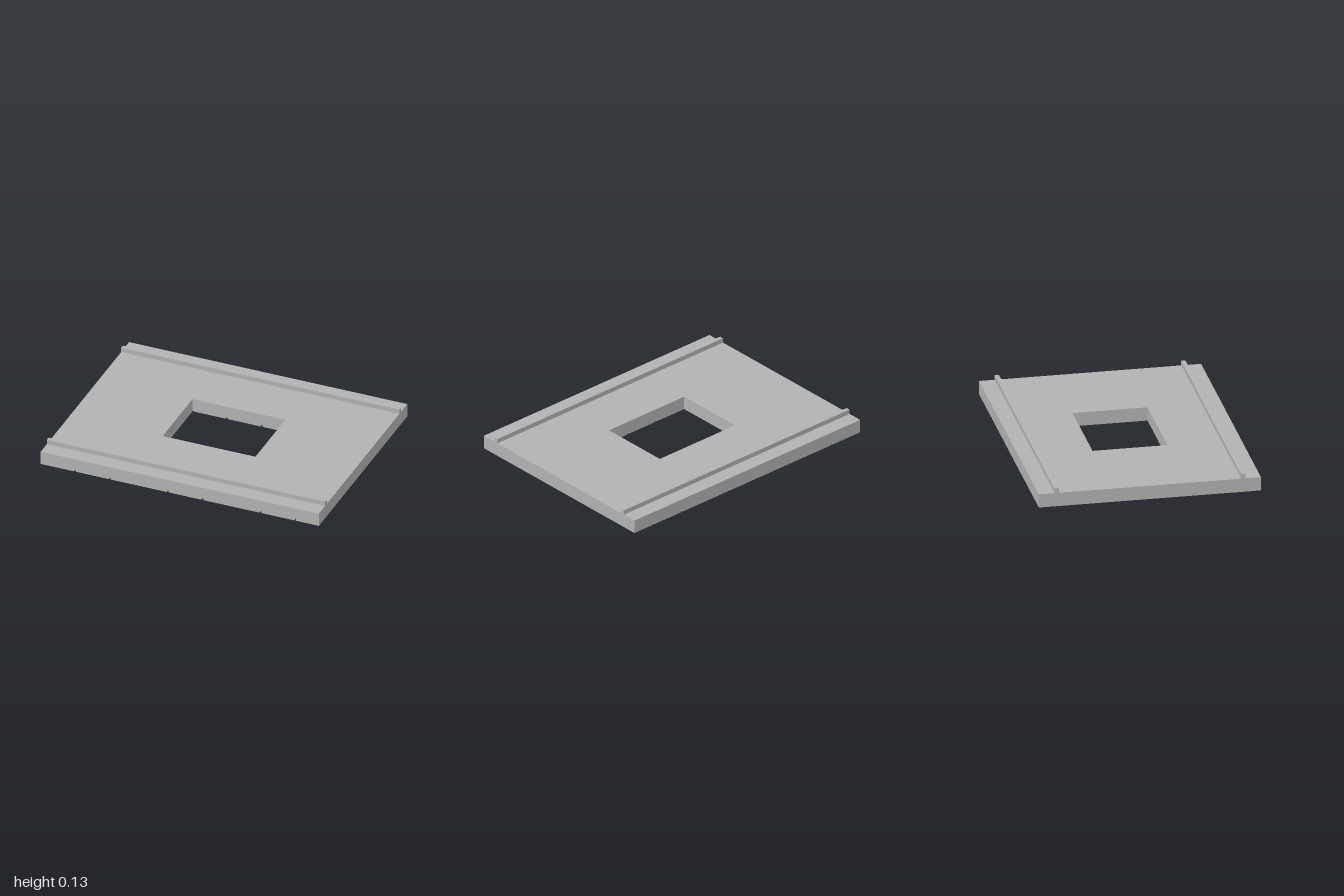
import * as THREE from 'three';

const HEIGHT = 0.095, DEPTH = 1.5, HOLE = 0.253;

// Board cross-section with small pointed grooves cut into its underside
function boardProfile(x0, x1, grooves, chamfer) {
  const s = new THREE.Shape();
  s.moveTo(x0, chamfer);
  s.lineTo(x0 + chamfer * 0.5, 0);
  for (const g of grooves) {
    s.lineTo(g - 0.006, 0);
    s.lineTo(g - 0.006, 0.011);
    s.lineTo(g, 0.017);
    s.lineTo(g + 0.006, 0.011);
    s.lineTo(g + 0.006, 0);
  }
  s.lineTo(x1, 0);
  s.lineTo(x1, HEIGHT);
  s.lineTo(x0, HEIGHT);
  s.closePath();
  return s;
}

export function createModel() {
  const model = new THREE.Group();
  model.name = 'floorPanel';
  const grey = new THREE.MeshStandardMaterial({ color: 0xb2b2b2 });
  grey.name = 'plain grey';

  function addBoard(name, profile, z0, z1) {
    const geo = new THREE.ExtrudeGeometry(profile, { depth: z1 - z0, bevelEnabled: false });
    geo.translate(0, 0, z0);
    const mesh = new THREE.Mesh(geo, grey);
    mesh.name = name;
    model.add(mesh);
  }

  // Three grooved boards; the middle one is interrupted by the opening
  const edge = 1 / 3, half = DEPTH / 2;
  const middle = boardProfile(-edge, edge, [-0.087, 0.163], 0.012);
  addBoard('rightBoard', boardProfile(-1, -edge, [-0.754, -0.504], 0), -half, half);
  addBoard('leftBoard', boardProfile(edge, 1, [0.58, 0.83], 0), -half, half);
  addBoard('frontMiddleBoard', middle, HOLE, half);
  addBoard('backMiddleBoard', middle, -half, -HOLE);

  // Raised rails along the front and back
  for (const side of [1, -1]) {
    const rail = new THREE.Mesh(new THREE.BoxGeometry(2, 0.033, 0.029), grey);
    rail.position.set(0, HEIGHT + 0.0165, side * 0.63);
    rail.name = side > 0 ? 'frontRail' : 'backRail';
    model.add(rail);
  }
  return model;
}
